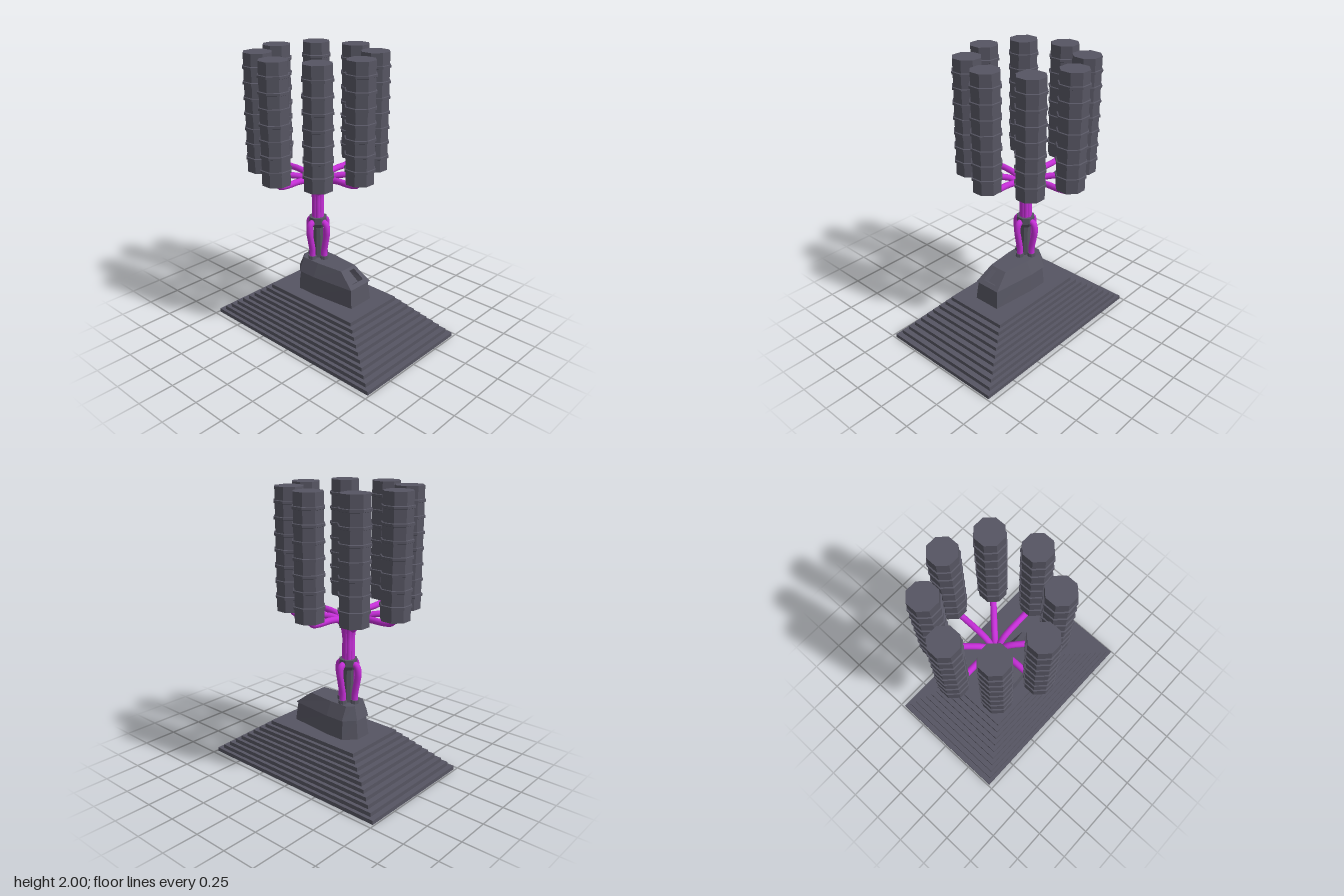
import * as THREE from 'three';

const gray = new THREE.MeshStandardMaterial({ color: 0x565562 });
gray.name = 'slate gray';
const purple = new THREE.MeshStandardMaterial({ color: 0xc42ed6 });
purple.name = 'bright purple';

const AXIS_X = -0.142; // shared vertical axis of the mast and pods
const OCT = 1 / Math.cos(Math.PI / 8); // flat-to-corner ratio of an octagon

function add(parent, name, geometry, material, x = 0, y = 0, z = 0) {
  const mesh = new THREE.Mesh(geometry, material);
  mesh.name = name;
  mesh.position.set(x, y, z);
  parent.add(mesh);
  return mesh;
}

function faceted(geometry) {
  const g = geometry.index ? geometry.toNonIndexed() : geometry;
  g.computeVertexNormals();
  return g;
}

// Octagonal solid from [flat radius, y] pairs, flats facing the axes
function octagonLathe(profile) {
  const pts = profile.map(([r, y]) => new THREE.Vector2(r * OCT, y));
  return faceted(new THREE.LatheGeometry(pts, 8, Math.PI / 8));
}

// Flat-shaded geometry from a list of quads
function quadGeometry(quads) {
  const pos = [];
  for (const [a, b, c, d] of quads) for (const p of [a, b, c, a, c, d]) pos.push(...p);
  const g = new THREE.BufferGeometry();
  g.setAttribute('position', new THREE.Float32BufferAttribute(pos, 3));
  g.computeVertexNormals();
  return g;
}

// Tube bent in a radial plane through [radius, y] points
function radialTube(points, radius) {
  const curve = new THREE.CatmullRomCurve3(points.map(([r, y]) => new THREE.Vector3(r, y, 0)));
  return new THREE.TubeGeometry(curve, 40, radius, 12);
}

// Eight-cornered mirrored outline, from four [x, z] pairs running front to back
function outline(half, y) {
  const back = half.map(([x, z]) => [x, y, -z]);
  const front = half.map(([x, z]) => [x, y, z]).reverse();
  return [front[3], ...back, ...front.slice(0, 3)];
}

const mix = (a, b, t) => a.map((v, i) => v + (b[i] - v) * t);

function housingGeometry() {
  const rings = [
    outline([[0.272, 0.1], [-0.06, 0.135], [-0.2, 0.135], [-0.28, 0.06]], 0.28),
    outline([[0.256, 0.09], [-0.06, 0.122], [-0.195, 0.122], [-0.262, 0.052]], 0.42),
    outline([[0.267, 0.1], [-0.06, 0.135], [-0.2, 0.135], [-0.274, 0.06]], 0.42),
    outline([[0.147, 0.07], [-0.06, 0.09], [-0.2, 0.09], [-0.24, 0.045]], 0.515),
  ];
  const quads = [];
  for (let k = 0; k < 3; k++) {
    for (let i = 0; i < 8; i++) {
      if (k === 2 && i === 0) continue; // sloped end is built below
      const j = (i + 1) % 8;
      quads.push([rings[k][i], rings[k][j], rings[k + 1][j], rings[k + 1][i]]);
    }
  }
  // Roof
  const t = rings[3];
  quads.push([t[0], t[1], t[2], t[7]], [t[7], t[2], t[3], t[6]], [t[6], t[3], t[4], t[5]]);
  // Sloped end: frame around a recessed opening
  const outer = [rings[2][0], rings[2][1], t[1], t[0]];
  const at = (u, v) => mix(mix(outer[0], outer[1], u), mix(outer[3], outer[2], u), v);
  const inner = [at(0.2, 0.22), at(0.8, 0.22), at(0.8, 0.86), at(0.2, 0.86)];
  const deep = inner.map(([x, y, z]) => [x - 0.035, y - 0.025, z * 0.75]);
  for (let i = 0; i < 4; i++) {
    const j = (i + 1) % 4;
    quads.push([outer[i], outer[j], inner[j], inner[i]], [inner[i], inner[j], deep[j], deep[i]]);
  }
  quads.push(deep);
  return quadGeometry(quads);
}

export function createModel() {
  const model = new THREE.Group();
  model.name = 'podTower';

  // Stepped plinth
  const plinth = new THREE.Group();
  plinth.name = 'steppedPlinth';
  model.add(plinth);
  const steps = 10, rise = 0.028;
  for (let i = 0; i < steps; i++) {
    const g = new THREE.BoxGeometry(1.48 - i * 0.078, rise, 0.93 - i * 0.05);
    add(plinth, 'step', g, gray, 0, rise * (i + 0.5), 0);
  }

  add(model, 'housing', housingGeometry(), gray);

  // Mast core and the collar that gathers the pipes
  const mast = new THREE.Group();
  mast.name = 'mast';
  mast.position.x = AXIS_X;
  model.add(mast);
  add(mast, 'core', octagonLathe([[0.034, 0.51], [0.034, 0.77]]), gray);
  add(mast, 'collar', octagonLathe([
    [0, 0.755], [0.045, 0.755], [0.06, 0.785], [0.06, 0.832], [0.03, 0.832], [0, 0.832],
  ]), gray);

  // Four bulging feed pipes with foot sockets
  const feed = radialTube([
    [0.06, 0.515], [0.06, 0.58], [0.075, 0.66], [0.088, 0.74], [0.076, 0.787], [0.035, 0.8],
  ], 0.023);
  const socket = faceted(new THREE.CylinderGeometry(0.028, 0.031, 0.03, 8));
  for (let i = 0; i < 4; i++) {
    const arm = new THREE.Group();
    arm.name = 'feed';
    arm.rotation.y = i * Math.PI / 2;
    mast.add(arm);
    add(arm, 'feedPipe', feed, purple);
    add(arm, 'footSocket', socket, gray, 0.06, 0.525, 0);
  }

  // Pod profile: hollow foot, seven raised bands, flat cap
  const profile = [[0, 1.225], [0.066, 1.225], [0.066, 1.187], [0.092, 1.187]];
  for (let i = 0; i < 7; i++) {
    const y = 1.284 + i * 0.1035;
    profile.push([0.092, y - 0.011], [0.1, y - 0.008], [0.1, y + 0.008], [0.092, y + 0.011]);
  }
  profile.push([0.092, 2], [0, 2]);
  const pod = octagonLathe(profile);

  // Eight branch pipes, each carrying a pod
  const branch = radialTube([
    [0.022, 0.8], [0.022, 0.9], [0.023, 1.0], [0.04, 1.07], [0.09, 1.122], [0.18, 1.142],
    [0.29, 1.144], [0.355, 1.155], [0.382, 1.19], [0.384, 1.23],
  ], 0.022);
  for (let i = 0; i < 8; i++) {
    const arm = new THREE.Group();
    arm.name = 'branch';
    arm.rotation.y = i * Math.PI / 4;
    mast.add(arm);
    add(arm, 'branchPipe', branch, purple);
    add(arm, 'pod', pod, gray, 0.385, 0, 0);
  }

  return model;
}
